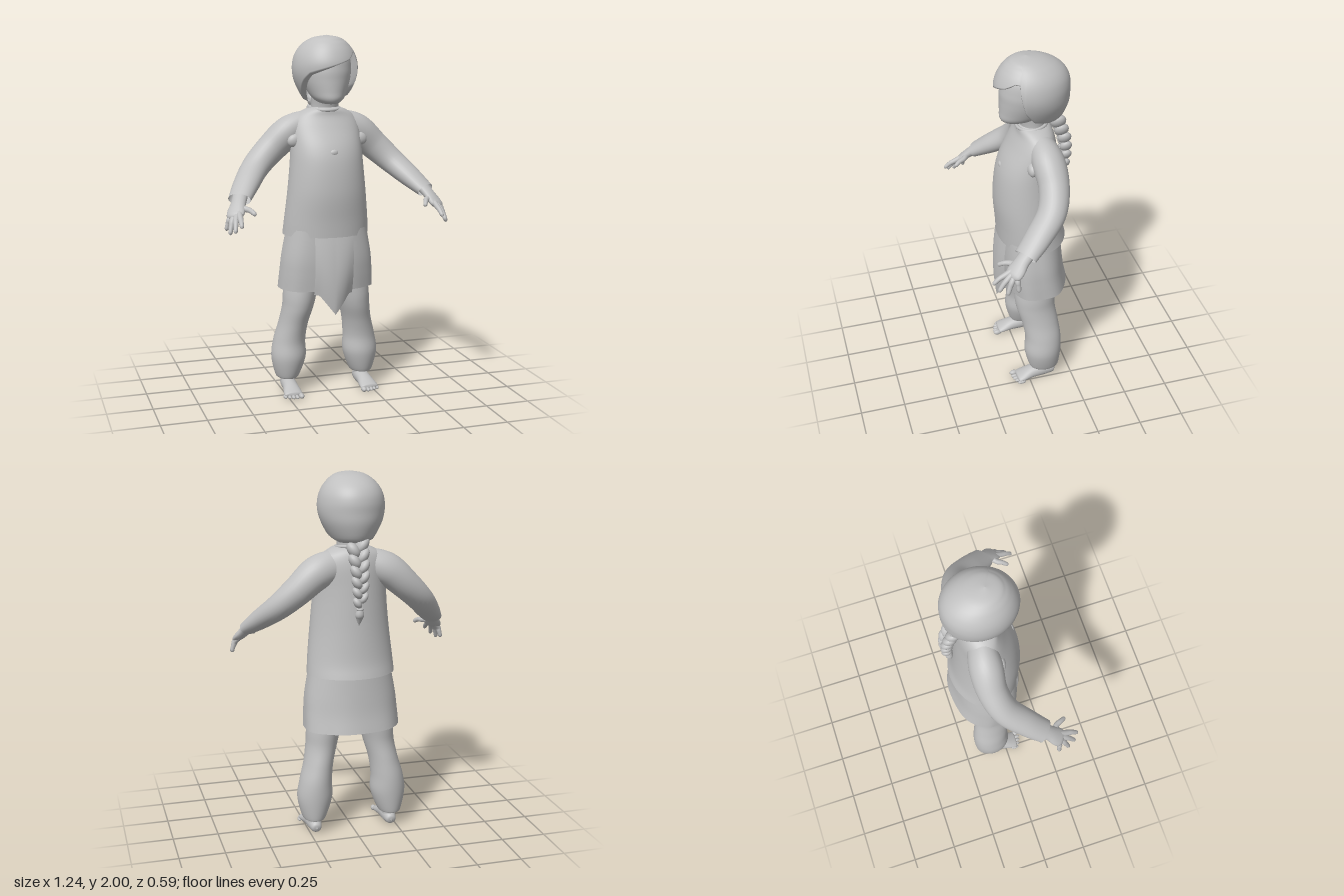
import * as THREE from 'three';

const grey = new THREE.MeshStandardMaterial({ color: 0xc0c0c0, side: THREE.DoubleSide });
grey.name = 'grey';

const named = (name, geometry) => {
  const m = new THREE.Mesh(geometry, grey);
  m.name = name;
  return m;
};

// Smooth interpolation through rows; t runs over the row index
const sampler = (rows, times = rows.map((_, i) => i)) => {
  const interp = new THREE.CubicInterpolant(times, rows.flat(), rows[0].length);
  return t => Array.from(interp.evaluate(t));
};

// Surface closed around u (angle), open along v (0..1)
function surface(nu, nv, f) {
  const pos = [], idx = [];
  for (let j = 0; j <= nv; j++)
    for (let i = 0; i < nu; i++) {
      pos.push(...f((i / nu) * Math.PI * 2, j / nv));
      if (j === nv) continue;
      const k = (i + 1) % nu, a = j * nu + i, b = j * nu + k;
      idx.push(a, b, a + nu, b, b + nu, a + nu);
    }
  const g = new THREE.BufferGeometry();
  g.setAttribute('position', new THREE.Float32BufferAttribute(pos, 3));
  g.setIndex(idx);
  g.computeVertexNormals();
  return g;
}

const sgnPow = (v, p) => Math.sign(v) * Math.abs(v) ** p;

// Horizontal sections, bottom to top: [y, centre x, half width, front z, back z];
// front and back set how square each half of the outline is
function loft(rows, { front = 2, back = 2, ripple = 0 } = {}) {
  const at = sampler(rows);
  return surface(56, rows.length * 5, (a, v) => {
    const [y, cx, rx, zf, zb] = at(v * (rows.length - 1));
    const k = 1 + ripple * Math.sin(7 * a) * (1 - v);
    const p = 2 / (Math.cos(a) > 0 ? front : back);
    return [cx + rx * k * sgnPow(Math.sin(a), p), y,
      (zf + zb) / 2 + ((zf - zb) / 2) * k * sgnPow(Math.cos(a), p)];
  });
}

// Swept limb: [x, y, z, radius along the wide axis, other radius]; cap rounds the far end
function limb(rows, wide, cap = 0, nu = 16) {
  const at = sampler(rows), last = rows.length - 1, w0 = new THREE.Vector3(...wide);
  const point = t => new THREE.Vector3(...at(THREE.MathUtils.clamp(t, 0, last)).slice(0, 3));
  return surface(nu, last * 7, (a, v) => {
    const t = v * last, [, , , rw, rn] = at(t), c = point(t);
    const dir = point(t + 0.05).sub(point(t - 0.05)).normalize();
    const w = w0.clone().addScaledVector(dir, -w0.dot(dir)).normalize();
    const n = new THREE.Vector3().crossVectors(dir, w);
    const e = cap && v > 1 - cap ? Math.sqrt(Math.max(0, 1 - ((v - 1 + cap) / cap) ** 2)) : 1;
    return c.addScaledVector(w, rw * e * Math.cos(a)).addScaledVector(n, rn * e * Math.sin(a)).toArray();
  });
}

function ellipsoid(name, p, r, tilt = 0) {
  const m = named(name, new THREE.SphereGeometry(1, 18, 12));
  m.position.set(...p);
  m.scale.set(...r);
  m.rotation.z = tilt;
  return m;
}

// Hair cap whose lower rim height depends on the angle around the head
function hairGeometry() {
  const rim = [[-180, 1.64], [-110, 1.635], [-90, 1.66], [-75, 1.7], [-60, 1.75], [-45, 1.79], [0, 1.835],
    [30, 1.865], [48, 1.9], [57, 1.9], [66, 1.73], [80, 1.66], [110, 1.635], [180, 1.64]];
  const rimAt = deg => {
    const i = Math.max(1, rim.findIndex(r => r[0] >= deg));
    const [a, b] = [rim[i - 1], rim[i]];
    return a[1] + (b[1] - a[1]) * (deg - a[0]) / (b[0] - a[0]);
  };
  const heights = [1.62, 1.66, 1.7, 1.75, 1.8, 1.85, 1.9, 1.94, 1.97, 1.99, 2];
  const at = sampler([[0.09, 0.04, -0.205], [0.118, 0.08, -0.238], [0.142, 0.1, -0.255], [0.165, 0.115, -0.268],
    [0.177, 0.126, -0.27], [0.176, 0.128, -0.27], [0.162, 0.112, -0.255], [0.136, 0.088, -0.222],
    [0.103, 0.058, -0.172], [0.06, 0.02, -0.11], [0, -0.04, -0.04]], heights);
  return surface(120, 36, (a, v) => {
    const r = rimAt(a > Math.PI ? THREE.MathUtils.radToDeg(a) - 360 : THREE.MathUtils.radToDeg(a));
    const y = Math.min(2, r + (2 - r) * Math.sin(v * Math.PI / 2));
    const [rx, zf, zb] = at(y), k = v === 0 ? 0.82 : 1;
    return [rx * k * Math.sin(a), y, (zf + zb) / 2 + ((zf - zb) / 2) * k * Math.cos(a)];
  });
}

// Curved front apron with a pointed lower end
function apronGeometry() {
  const g = new THREE.PlaneGeometry(0.22, 1, 22, 12), p = g.attributes.position;
  for (let i = 0; i < p.count; i++) {
    const x = p.getX(i), v = 0.5 - p.getY(i);
    const bottom = 0.59 - 0.11 * Math.max(0, 1 - Math.abs(x) / 0.085);
    p.setY(i, 0.95 + (bottom - 0.95) * v);
    p.setZ(i, 0.112 + 0.04 * Math.sin(v * 2.3) - 0.012 * v - (1.2 + 2.6 * v) * x * x);
  }
  g.computeVertexNormals();
  return g;
}

// One side of the body: sleeve, hand, trouser leg and foot (+x side)
function sideParts() {
  const g = new THREE.Group();
  const wide = [0.75, 0, -0.65];
  g.add(named('sleeve', limb([[0.08, 1.515, -0.095, 0.07, 0.085], [0.195, 1.474, -0.105, 0.086, 0.092],
    [0.3, 1.385, -0.105, 0.081, 0.081], [0.395, 1.295, -0.065, 0.078, 0.069],
    [0.472, 1.213, 0.03, 0.073, 0.056], [0.528, 1.15, 0.112, 0.064, 0.04]], wide, 0, 28)));
  g.add(ellipsoid('armpitFold', [0.188, 1.435, -0.02], [0.04, 0.035, 0.024], -0.4));

  // Hand
  g.add(named('palm', limb([[0.52, 1.165, 0.095, 0.042, 0.03], [0.54, 1.13, 0.135, 0.042, 0.027],
    [0.56, 1.095, 0.17, 0.05, 0.023], [0.575, 1.065, 0.205, 0.045, 0.017]], wide, 0.2)));
  const fingers = [
    ['indexFinger', [0.551, 1.077, 0.222], [0.557, 1.03, 0.294]],
    ['middleFinger', [0.57, 1.066, 0.214], [0.587, 1.0, 0.27]],
    ['ringFinger', [0.585, 1.06, 0.196], [0.607, 0.985, 0.228]],
    ['littleFinger', [0.594, 1.062, 0.172], [0.614, 0.998, 0.17]],
    ['thumb', [0.505, 1.108, 0.185], [0.472, 1.085, 0.247]]];
  for (const [name, k, tip] of fingers) {
    const mid = k.map((c, i) => (c + tip[i]) / 2 + (i === 1 ? 0.006 : 0));
    g.add(named(name, limb([[0.545, 1.115, 0.15, 0.017, 0.017], [...k, 0.016, 0.015],
      [...mid, 0.0135, 0.013], [...tip, 0.011, 0.011]], wide, 0.12, 10)));
  }

  // Trouser leg
  g.add(named('trouserLeg', loft([[0.1, 0.22, 0.048, -0.03, -0.165], [0.09, 0.22, 0.064, -0.008, -0.178],
    [0.2, 0.213, 0.097, 0.02, -0.19], [0.3, 0.207, 0.09, 0.015, -0.19], [0.4, 0.188, 0.082, 0.03, -0.178],
    [0.5, 0.166, 0.086, 0.057, -0.165], [0.6, 0.15, 0.094, 0.066, -0.17], [0.8, 0.11, 0.1, 0.06, -0.18]])));

  // Foot
  g.add(named('ankle', limb([[0.218, 0.16, -0.095, 0.038, 0.05], [0.218, 0.09, -0.093, 0.037, 0.05],
    [0.218, 0.03, -0.09, 0.038, 0.055]], [1, 0, 0])));
  g.add(named('foot', limb([[0.218, 0.034, -0.157, 0.004, 0.004], [0.218, 0.036, -0.145, 0.028, 0.028],
    [0.218, 0.044, -0.09, 0.04, 0.043], [0.22, 0.038, -0.02, 0.043, 0.037],
    [0.223, 0.025, 0.04, 0.051, 0.024], [0.224, 0.017, 0.075, 0.05, 0.015]], [1, 0, 0], 0.06, 24)));
  for (let i = 0; i < 5; i++) {
    const r = i ? 0.0105 : 0.015;
    g.add(ellipsoid('toe', [0.184 + i * 0.0205 + (i ? 0.004 : 0), r, 0.082 - 0.0035 * i * i / 2], [r, r, 0.024]));
  }
  return g;
}

// Plaited braid hanging down the back, tied off above a tuft
function braid() {
  const g = new THREE.Group();
  g.name = 'braid';
  const zAt = sampler([[-0.2], [-0.222], [-0.25], [-0.26], [-0.252], [-0.235]], [0, 0.15, 0.35, 0.6, 0.8, 1]);
  const count = 12;
  for (let i = 0; i < count; i++) {
    const t = i / count, s = i % 2 ? 1 : -1, k = 1 - 0.4 * t;
    g.add(ellipsoid('braidStrand', [s * 0.025 * k, 1.63 - 0.325 * t, zAt(t * 0.8)[0]],
      [0.031 * k, 0.05 * k, 0.044 * k], -s * 0.6));
  }
  const band = named('braidTie', new THREE.TorusGeometry(0.014, 0.007, 8, 18));
  band.position.set(0, 1.297, -0.249);
  band.rotation.x = Math.PI / 2;
  g.add(band);
  g.add(named('braidTuft', limb([[0, 1.31, -0.25, 0.01, 0.01], [0, 1.27, -0.246, 0.024, 0.022],
    [0, 1.245, -0.24, 0.018, 0.015], [0, 1.205, -0.232, 0.001, 0.001]], [1, 0, 0], 0, 12)));
  return g;
}

export function createModel() {
  const model = new THREE.Group();
  model.name = 'child';

  // Tunic
  model.add(named('tunic', loft([[0.912, 0, 0.243, 0.12, -0.256], [1, 0, 0.236, 0.125, -0.235],
    [1.15, 0, 0.22, 0.136, -0.22], [1.3, 0, 0.206, 0.125, -0.21], [1.4, 0, 0.2, 0.098, -0.203],
    [1.5, 0, 0.195, 0.045, -0.195], [1.56, 0, 0.17, 0.015, -0.182], [1.595, 0, 0.12, 0.008, -0.165],
    [1.612, 0, 0.073, -0.004, -0.138]], { front: 2.1, back: 1.95 })));
  model.add(ellipsoid('tunicButton', [0, 1.375, 0.099], [0.024, 0.018, 0.013]));
  const collar = named('collar', new THREE.TorusGeometry(0.08, 0.009, 8, 40));
  collar.position.set(0, 1.605, -0.071);
  collar.rotation.x = Math.PI / 2 + 0.1;
  model.add(collar);

  // Skirt and apron
  model.add(named('skirt', loft([[0.607, 0, 0.266, 0.088, -0.264], [0.7, 0, 0.26, 0.098, -0.246],
    [0.8, 0, 0.25, 0.105, -0.235], [0.95, 0, 0.222, 0.105, -0.222]], { front: 2.9, back: 2.05, ripple: 0.012 })));
  model.add(named('apron', apronGeometry()));

  // Head
  model.add(named('neck', loft([[1.57, 0, 0.08, -0.005, -0.145], [1.62, 0, 0.075, -0.002, -0.14],
    [1.7, 0, 0.08, 0.02, -0.15]])));
  model.add(named('face', loft([[1.632, 0, 0, 0.03, 0.03], [1.637, 0, 0.045, 0.08, -0.06],
    [1.66, 0, 0.08, 0.101, -0.12], [1.7, 0, 0.105, 0.102, -0.17], [1.76, 0, 0.128, 0.101, -0.2],
    [1.82, 0, 0.138, 0.098, -0.22], [1.9, 0, 0.125, 0.075, -0.2], [1.95, 0, 0.05, 0, -0.1]])));
  model.add(named('hair', hairGeometry()));
  model.add(braid());

  // Limbs, mirrored
  const left = sideParts(), right = left.clone();
  left.name = 'leftLimbs';
  right.name = 'rightLimbs';
  right.scale.x = -1;
  model.add(left, right);
  return model;
}
